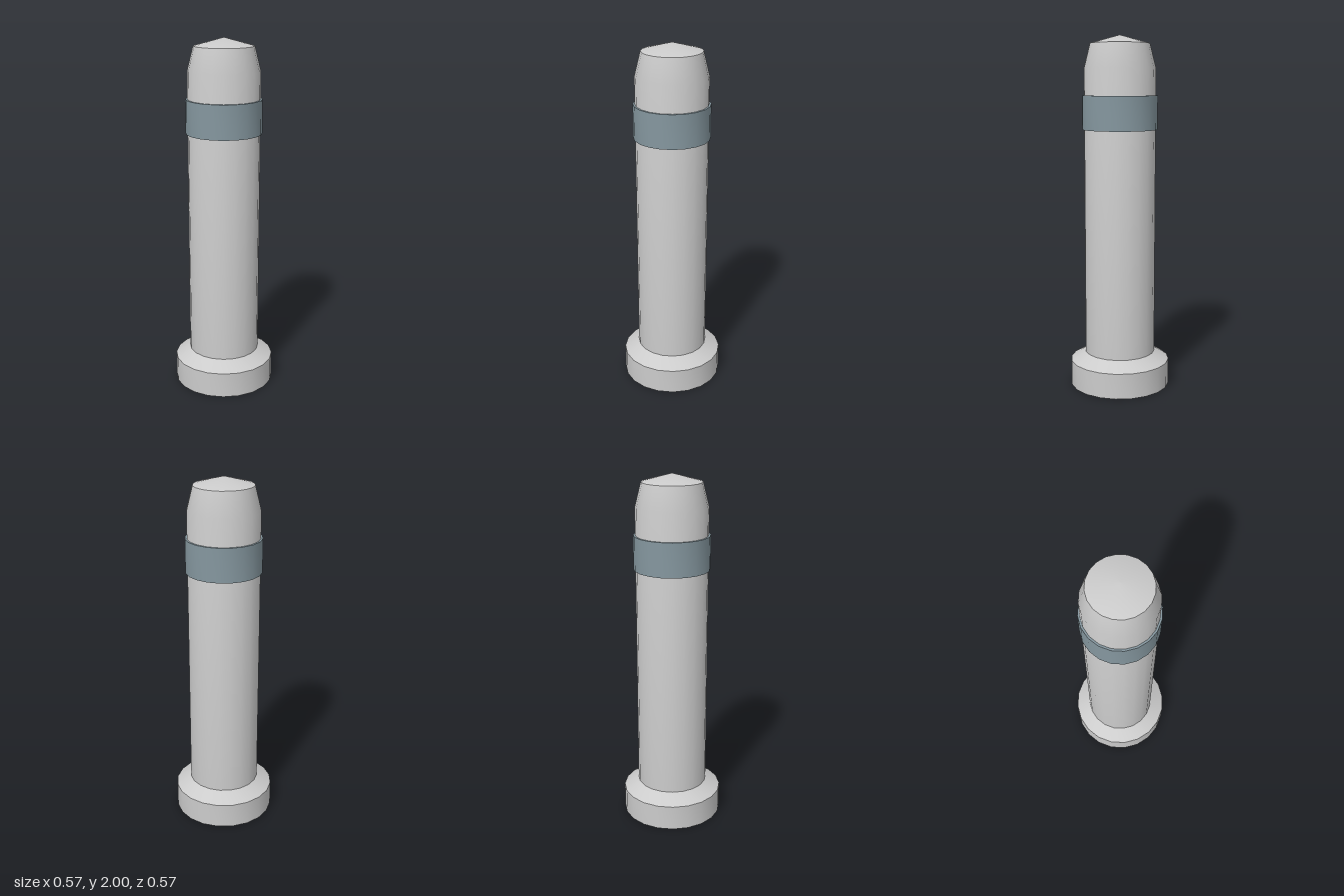
import * as THREE from 'three';
import { toCreasedNormals } from 'three/addons/utils/BufferGeometryUtils.js';

const SIDES = 20;

// Turned part from [radius, height] pairs, listed bottom to top
function turned(name, profile, color) {
  const points = profile.map(([r, y]) => new THREE.Vector2(r, y));
  const geometry = toCreasedNormals(new THREE.LatheGeometry(points, SIDES), Math.PI / 6);
  const mesh = new THREE.Mesh(geometry, new THREE.MeshStandardMaterial({ color }));
  mesh.name = name;
  return mesh;
}

export function createModel() {
  const group = new THREE.Group();
  group.name = 'bollard';

  // Wide foot, straight post, tapered head and shallow conical cap
  group.add(turned('post', [
    [0, 0], [0.285, 0], [0.285, 0.145], [0.201, 0.195],
    [0.201, 1.82], [0.167, 1.955], [0, 2],
  ], 0xcccccc));

  // Coloured band around the upper post
  group.add(turned('band', [
    [0.195, 1.48], [0.212, 1.48], [0.212, 1.67], [0.195, 1.67],
  ], 0x85979f));

  return group;
}
